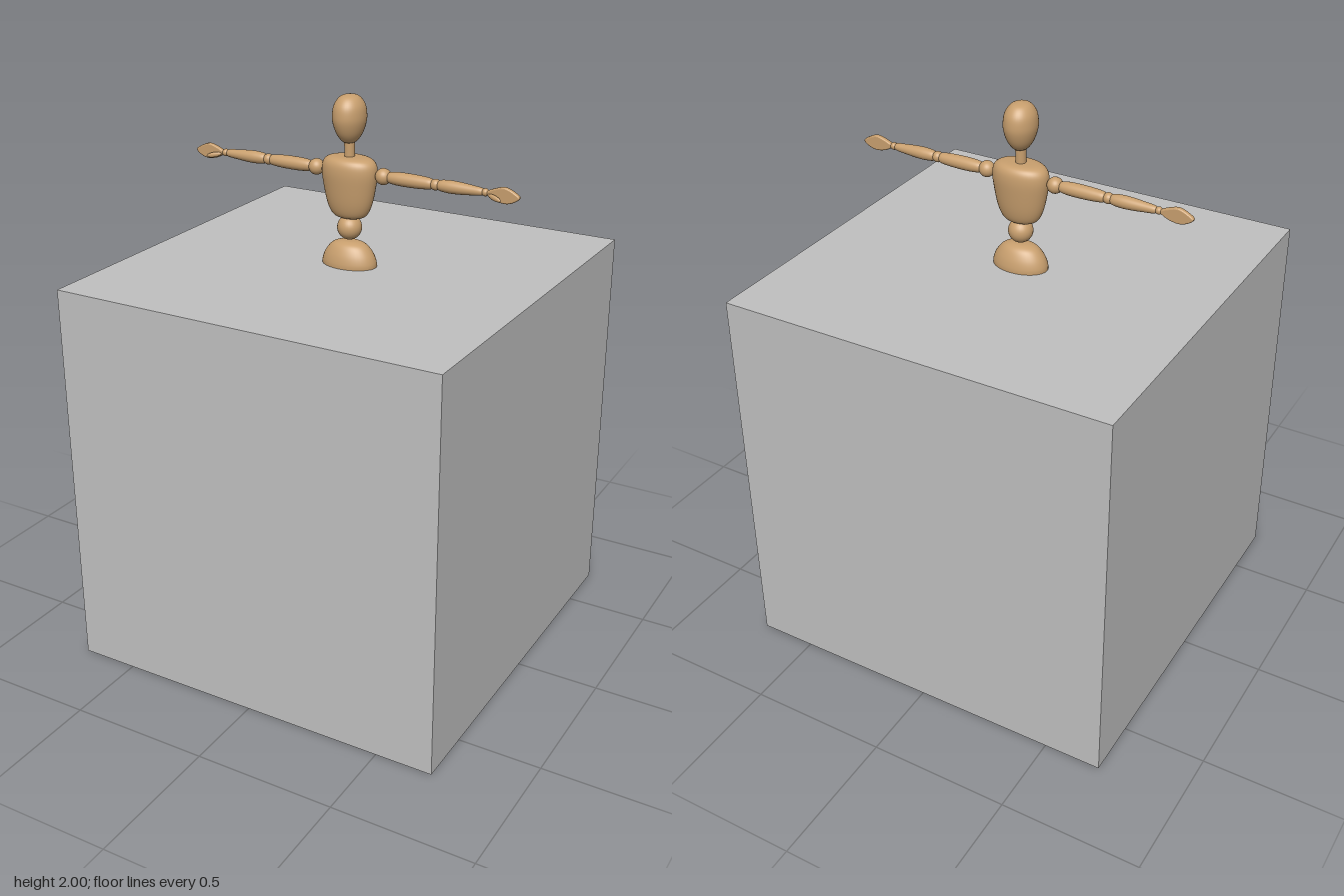
import * as THREE from 'three';

export function createModel() {
  const model = new THREE.Group();
  const wood = new THREE.MeshStandardMaterial({ color: 0xc89f6e });
  wood.name = 'light wood';
  const grey = new THREE.MeshStandardMaterial({ color: 0xc0c0c0 });
  grey.name = 'block grey';

  function add(name, geometry, material = wood, parent = model) {
    const mesh = new THREE.Mesh(geometry, material);
    mesh.name = name;
    parent.add(mesh);
    return mesh;
  }
  // Smooth turned part: [radius, height] points from bottom to top
  function turned(points, depth = 1) {
    const curve = new THREE.SplineCurve(points.map(([r, y]) => new THREE.Vector2(r, y)));
    const profile = curve.getPoints(36).map(p => new THREE.Vector2(Math.max(p.x, 0), p.y));
    const geometry = new THREE.LatheGeometry(profile, 40);
    geometry.scale(1, 1, depth);
    return geometry;
  }
  function ball(name, r, x, y, z, parent, sy = 1, sz = 1) {
    const mesh = add(name, new THREE.SphereGeometry(r, 28, 18), wood, parent);
    mesh.position.set(x, y, z);
    mesh.scale.set(1, sy, sz);
    return mesh;
  }

  // Large block the figure rises from
  add('block', new THREE.BoxGeometry(1.41, 1.41, 1.41), grey).position.y = 0.705;

  // Head and neck
  add('head', turned([[0, 1.835], [0.022, 1.841], [0.041, 1.866], [0.053, 1.9],
    [0.056, 1.93], [0.05, 1.965], [0.03, 1.992], [0, 2]], 1.18));
  add('neck', new THREE.CylinderGeometry(0.018, 0.018, 0.09, 24)).position.y = 1.815;

  // Torso, waist and pelvis
  add('chest', turned([[0, 1.575], [0.04, 1.578], [0.065, 1.592], [0.083, 1.63], [0.096, 1.69],
    [0.102, 1.74], [0.094, 1.773], [0.065, 1.789], [0, 1.791]], 0.65));
  ball('waist', 0.043, 0, 1.542, 0, model);
  add('pelvis', turned([[0.1, 1.4], [0.1, 1.425], [0.088, 1.455], [0.065, 1.482],
    [0.035, 1.494], [0, 1.496]], 0.68));

  // Arms held straight out, with hip balls on the same side
  for (const side of [1, -1]) {
    const arm = new THREE.Group();
    arm.name = side > 0 ? 'leftArm' : 'rightArm';
    arm.position.y = 1.737;
    model.add(arm);

    const limb = (name, points) => {
      const mesh = add(name, turned(points), wood, arm);
      mesh.rotation.z = -side * Math.PI / 2;
    };
    ball('shoulder', 0.028, side * 0.129, 0, 0, arm);
    limb('upperArm', [[0, 0.146], [0.016, 0.149], [0.022, 0.18], [0.023, 0.23],
      [0.021, 0.28], [0.016, 0.31], [0, 0.313]]);
    ball('elbow', 0.019, side * 0.323, 0, 0, arm);
    limb('forearm', [[0, 0.333], [0.016, 0.336], [0.021, 0.365], [0.021, 0.4],
      [0.017, 0.45], [0.012, 0.49], [0, 0.493]]);
    ball('wrist', 0.013, side * 0.501, 0, 0, arm);

    // Flat hand with pointed fingers
    const outline = new THREE.SplineCurve([[0.507, -0.006], [0.535, -0.021], [0.572, -0.028],
      [0.602, -0.02], [0.622, -0.003], [0.606, 0.012], [0.57, 0.026], [0.535, 0.018],
      [0.507, 0.006]].map(([x, y]) => new THREE.Vector2(x * side, y)));
    const hand = new THREE.ExtrudeGeometry(new THREE.Shape(outline.getPoints(32)), {
      depth: 0.006, bevelThickness: 0.006, bevelSize: 0.005, bevelOffset: -0.005, bevelSegments: 4
    });
    hand.translate(0, 0, -0.003);
    add('hand', hand, wood, arm);
    const thumb = ball('thumb', 0.028, side * 0.54, -0.009, 0.018, arm, 0.32, 0.24);
    thumb.rotation.set(0, -side * 0.3, -side * 0.2);

    ball('hip', 0.042, side * 0.062, 1.39, 0, model);
  }
  return model;
}
